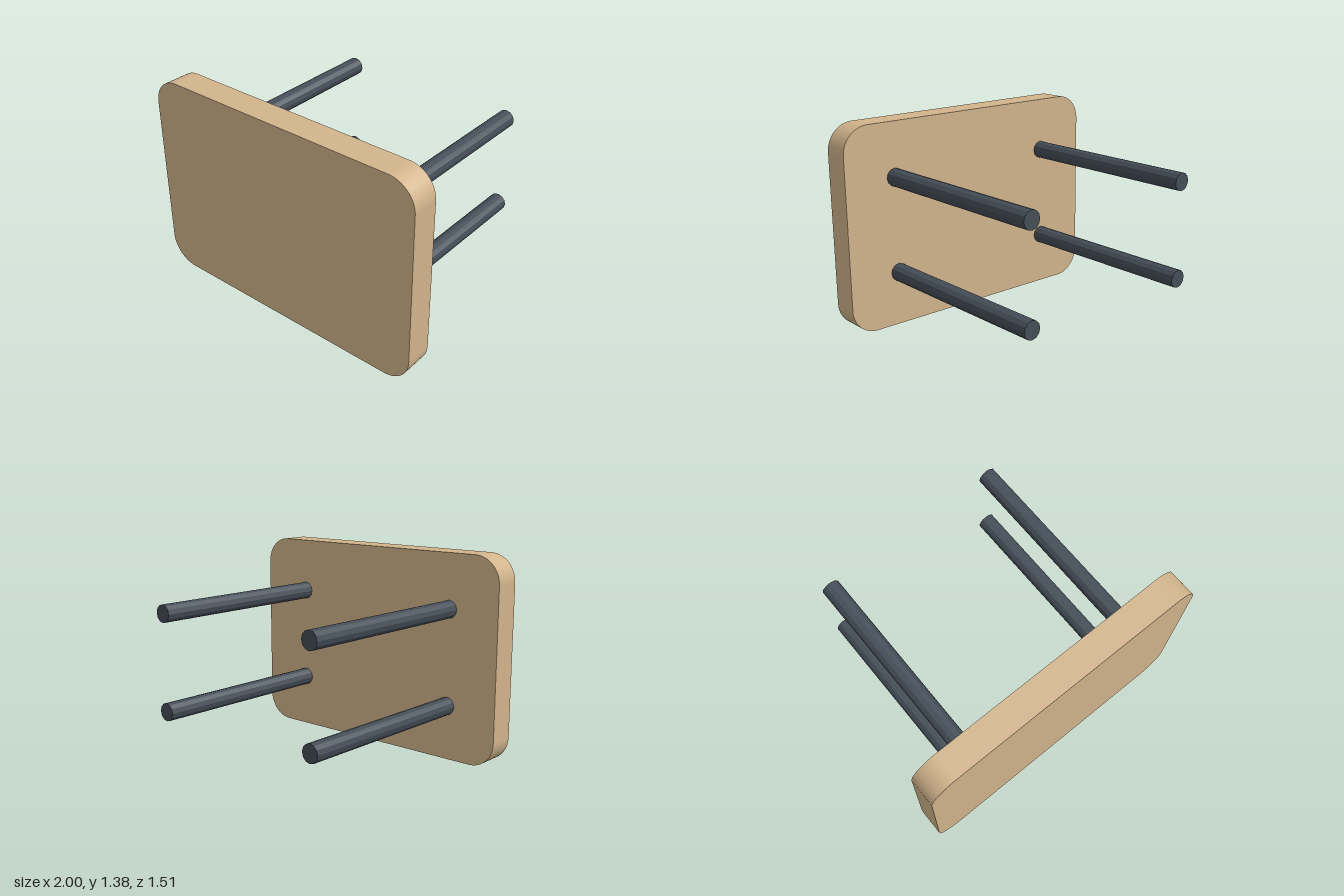
import * as THREE from 'three';

// Rounded rectangle centred on the origin
function roundedRect(w, h, r) {
  const s = new THREE.Shape();
  const x = w / 2 - r, y = h / 2 - r;
  s.absarc(x, y, r, 0, Math.PI / 2);
  s.absarc(-x, y, r, Math.PI / 2, Math.PI);
  s.absarc(-x, -y, r, Math.PI, Math.PI * 1.5);
  s.absarc(x, -y, r, Math.PI * 1.5, Math.PI * 2);
  s.closePath();
  return s;
}

export function createModel() {
  const group = new THREE.Group();
  group.name = 'smallTable';
  const wood = new THREE.MeshStandardMaterial({ color: 0xd2b48c, flatShading: true });
  const metal = new THREE.MeshStandardMaterial({ color: 0x444d57, flatShading: true });

  // The table rests on the long edge of its top, tilted very slightly
  const table = new THREE.Group();
  table.name = 'table';
  table.position.y = 0.692;
  table.rotation.z = -0.0055;
  group.add(table);

  // Table top with rounded corners
  const topGeometry = new THREE.ExtrudeGeometry(roundedRect(1.994, 1.376, 0.18), {
    depth: 0.185, bevelEnabled: false, curveSegments: 8,
  });
  const top = new THREE.Mesh(topGeometry, wood);
  top.name = 'tableTop';
  top.position.z = 0.57;
  table.add(top);

  // Four round legs pointing backwards
  const legGeometry = new THREE.CylinderGeometry(0.06, 0.06, 1.325, 12);
  legGeometry.rotateX(Math.PI / 2);
  for (const sx of [-1, 1]) {
    for (const sy of [-1, 1]) {
      const leg = new THREE.Mesh(legGeometry, metal);
      leg.name = (sy > 0 ? 'upper' : 'lower') + (sx > 0 ? 'Left' : 'Right') + 'Leg';
      leg.position.set(sx * 0.63, sy * 0.323, -0.0925);
      table.add(leg);
    }
  }
  return group;
}
